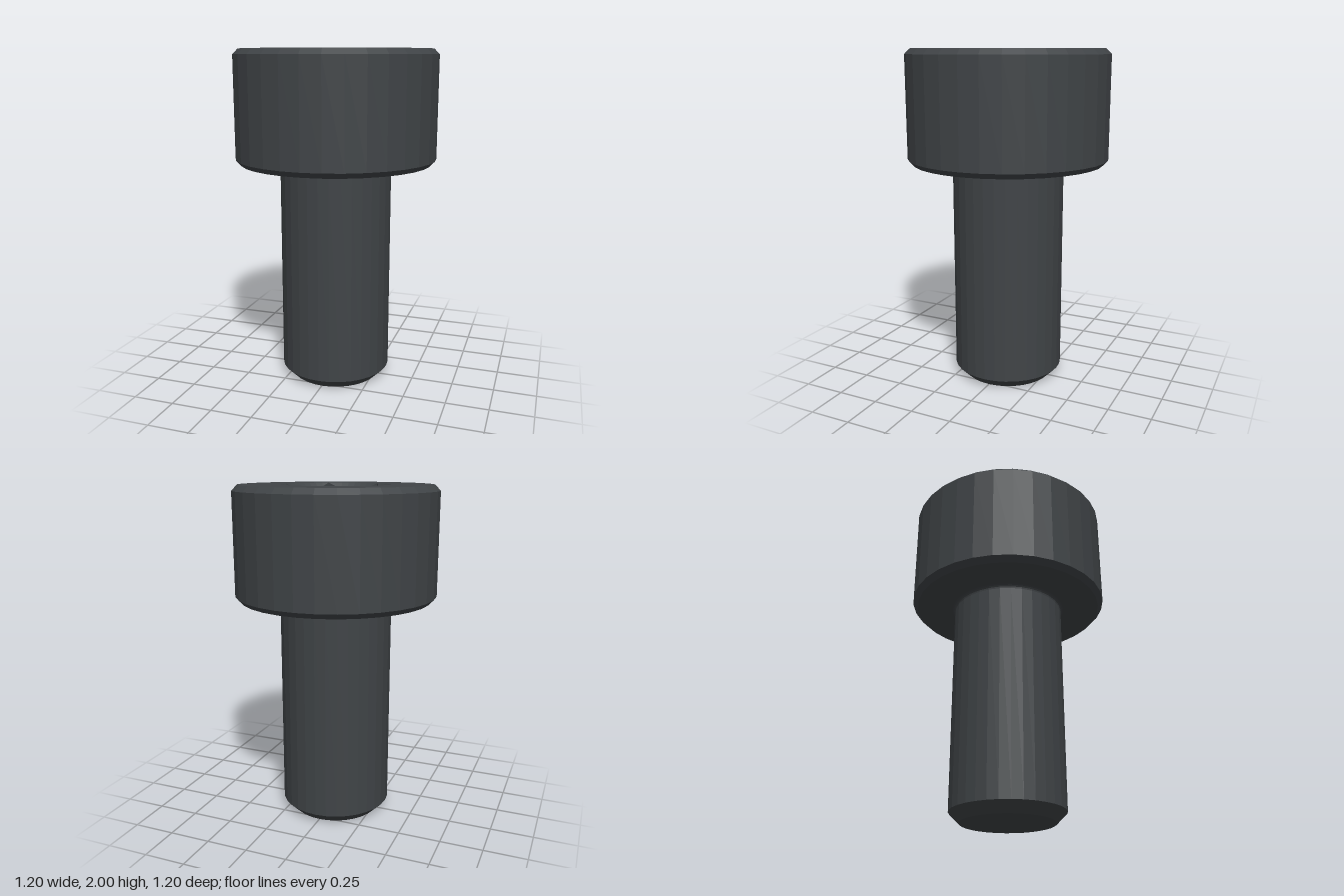
import * as THREE from 'three';

const SEGMENTS = 32;
const RIM = 0.315;       // socket rim radius, equal to the hexagon's corner radius
const SIDE_STEPS = 8;    // steps along each hexagon side
const TOP = 2;
const FLOOR = 1.7;
const TOP_RADIUS = 0.567;

const polar = (r, a, y) => [r * Math.cos(a), y, r * Math.sin(a)];

// Circle outline for the top face
function circle(radius, count) {
  return Array.from({ length: count }, (_, i) => {
    const a = (i / count) * Math.PI * 2;
    return new THREE.Vector2(radius * Math.cos(a), radius * Math.sin(a));
  });
}

function lathe(profile) {
  return new THREE.LatheGeometry(profile.map(([r, y]) => new THREE.Vector2(r, y)), SEGMENTS);
}

// Hexagonal recess: conical lead-in cut by the six flats, walls and floor
function socketGeometry() {
  const count = SIDE_STEPS * 6;
  const apothem = RIM * Math.cos(Math.PI / 6);
  const columns = [];
  for (let i = 0; i <= count; i++) {
    const a = (i / count) * Math.PI * 2;
    const local = (a % (Math.PI / 3)) - Math.PI / 6;
    const r = i % SIDE_STEPS === 0 ? RIM : apothem / Math.cos(local);
    columns.push([
      polar(RIM, a, TOP),
      polar(r, a, TOP - (RIM - r)),
      polar(r, a, FLOOR),
    ]);
  }
  const positions = [];
  for (let i = 0; i < count; i++) {
    const p = columns[i], q = columns[i + 1];
    for (let k = 0; k < 2; k++) {
      positions.push(...p[k], ...p[k + 1], ...q[k + 1]);
      positions.push(...p[k], ...q[k + 1], ...q[k]);
    }
    positions.push(0, FLOOR, 0, ...q[2], ...p[2]);
  }
  const geometry = new THREE.BufferGeometry();
  geometry.setAttribute('position', new THREE.Float32BufferAttribute(positions, 3));
  geometry.computeVertexNormals();
  return geometry;
}

export function createModel() {
  const group = new THREE.Group();
  group.name = 'socketHeadScrew';
  const material = new THREE.MeshStandardMaterial({ color: 0x404447, flatShading: true });
  const add = (name, geometry) => {
    const mesh = new THREE.Mesh(geometry, material);
    mesh.name = name;
    group.add(mesh);
  };

  // Shank with chamfered tip and a small fillet under the head
  const shank = [[0, 0], [0.273, 0], [0.333, 0.06]];
  const fillet = 0.025;
  for (let i = 0; i <= 4; i++) {
    const a = (i / 4) * Math.PI / 2;
    shank.push([0.333 + fillet * (1 - Math.cos(a)), 1.335 - fillet + fillet * Math.sin(a)]);
  }
  add('shank', lathe(shank));

  // Head side with both chamfers and the bearing face
  add('head', lathe([
    [0.333 + fillet, 1.335], [TOP_RADIUS, 1.335], [0.598, 1.367], [0.598, 1.968], [TOP_RADIUS, TOP],
  ]));

  // Flat top around the socket
  const face = new THREE.Shape(circle(TOP_RADIUS, SEGMENTS));
  face.holes.push(new THREE.Path(circle(RIM, SIDE_STEPS * 6)));
  add('topFace', new THREE.ShapeGeometry(face).rotateX(-Math.PI / 2).translate(0, TOP, 0));

  add('hexSocket', socketGeometry());
  return group;
}
